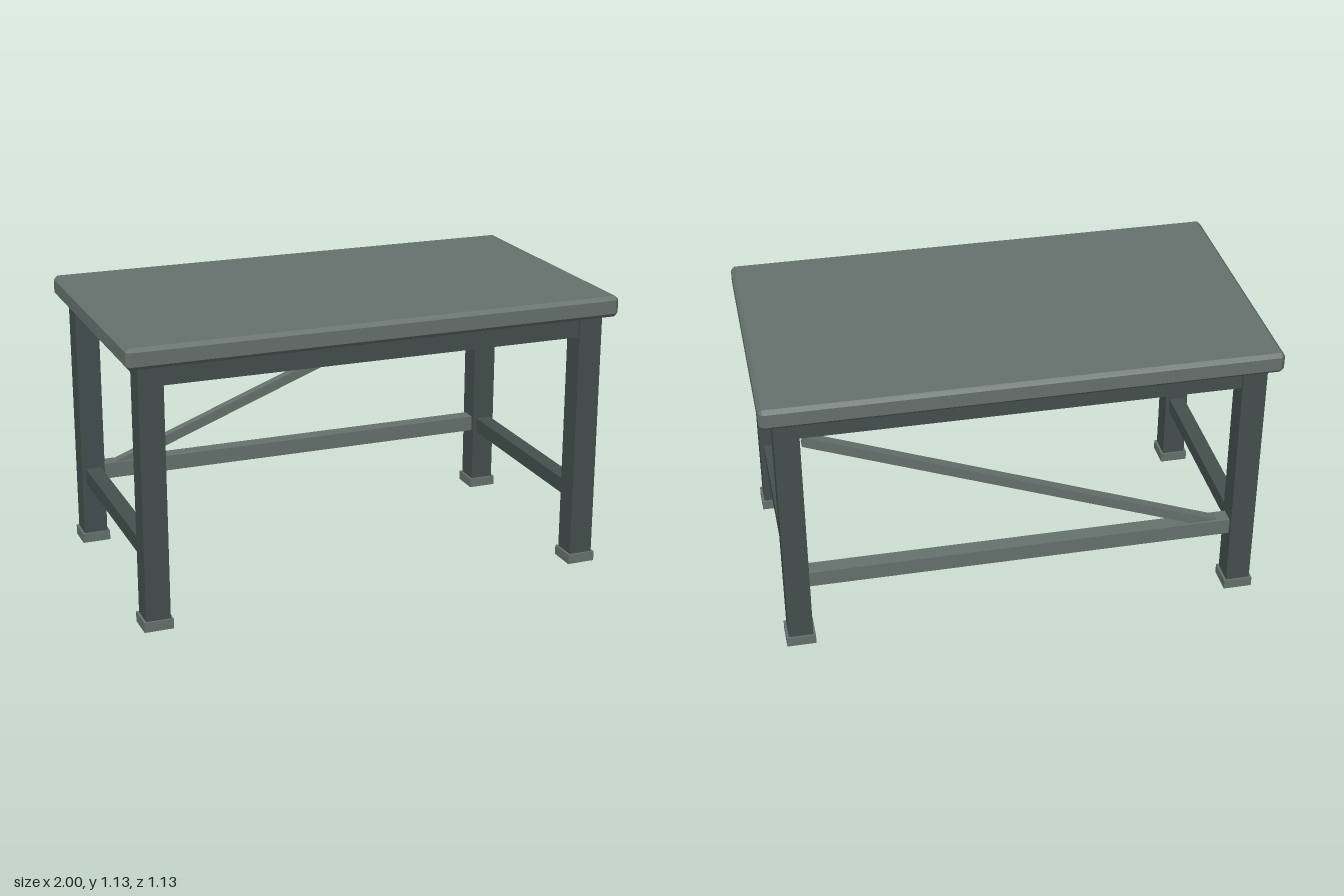
import * as THREE from 'three';
import { ConvexGeometry } from 'three/addons/geometries/ConvexGeometry.js';

// Box with every edge cut by a flat chamfer
function chamferedBox(w, h, d, c) {
  const points = [];
  for (const sx of [-1, 1]) for (const sy of [-1, 1]) for (const sz of [-1, 1]) {
    const x = w / 2, y = h / 2, z = d / 2;
    points.push(
      new THREE.Vector3(sx * x, sy * (y - c), sz * (z - c)),
      new THREE.Vector3(sx * (x - c), sy * y, sz * (z - c)),
      new THREE.Vector3(sx * (x - c), sy * (y - c), sz * z));
  }
  return new ConvexGeometry(points);
}

export function createModel() {
  const model = new THREE.Group();
  model.name = 'workTable';

  const paleSteel = new THREE.MeshStandardMaterial({ color: 0x66716d });
  paleSteel.name = 'paleSteel';
  const darkSteel = new THREE.MeshStandardMaterial({ color: 0x444f4e });
  darkSteel.name = 'darkSteel';

  function add(name, geometry, material, x, y, z) {
    const mesh = new THREE.Mesh(geometry, material);
    mesh.name = name;
    mesh.position.set(x, y, z);
    model.add(mesh);
    return mesh;
  }
  const box = (w, h, d) => new THREE.BoxGeometry(w, h, d);

  const legX = 0.901, legZ = 0.47;
  const spanX = 1.706, spanZ = 0.84;

  // Table top
  add('tableTop', chamferedBox(2, 0.084, 1.132, 0.015), paleSteel, 0, 1.091, 0);

  // Legs and feet
  for (const sx of [-1, 1]) for (const sz of [-1, 1]) {
    add('leg', box(0.097, 1.01, 0.1), darkSteel, sx * legX, 0.545, sz * legZ);
    add('foot', box(0.116, 0.04, 0.116), paleSteel, sx * legX, 0.02, sz * legZ);
  }

  // Long aprons, front and back
  for (const sz of [-1, 1]) {
    add('longApron', box(spanX, 0.08, 0.08), darkSteel, 0, 1.006, sz * legZ);
  }

  // Short aprons and lower rails on both ends
  for (const sx of [-1, 1]) {
    add('sideApron', box(0.064, 0.062, spanZ), darkSteel, sx * legX, 1.013, 0);
    add('sideRail', box(0.064, 0.064, spanZ), darkSteel, sx * legX, 0.295, 0);
  }

  // Back stretcher and diagonal brace
  add('backStretcher', box(spanX, 0.065, 0.065), paleSteel, 0, 0.299, -legZ);
  const brace = add('diagonalBrace', box(1.79, 0.04, 0.04), paleSteel, 0, 0.615, -legZ);
  brace.rotation.z = Math.atan2(0.636, 1.674);

  return model;
}
